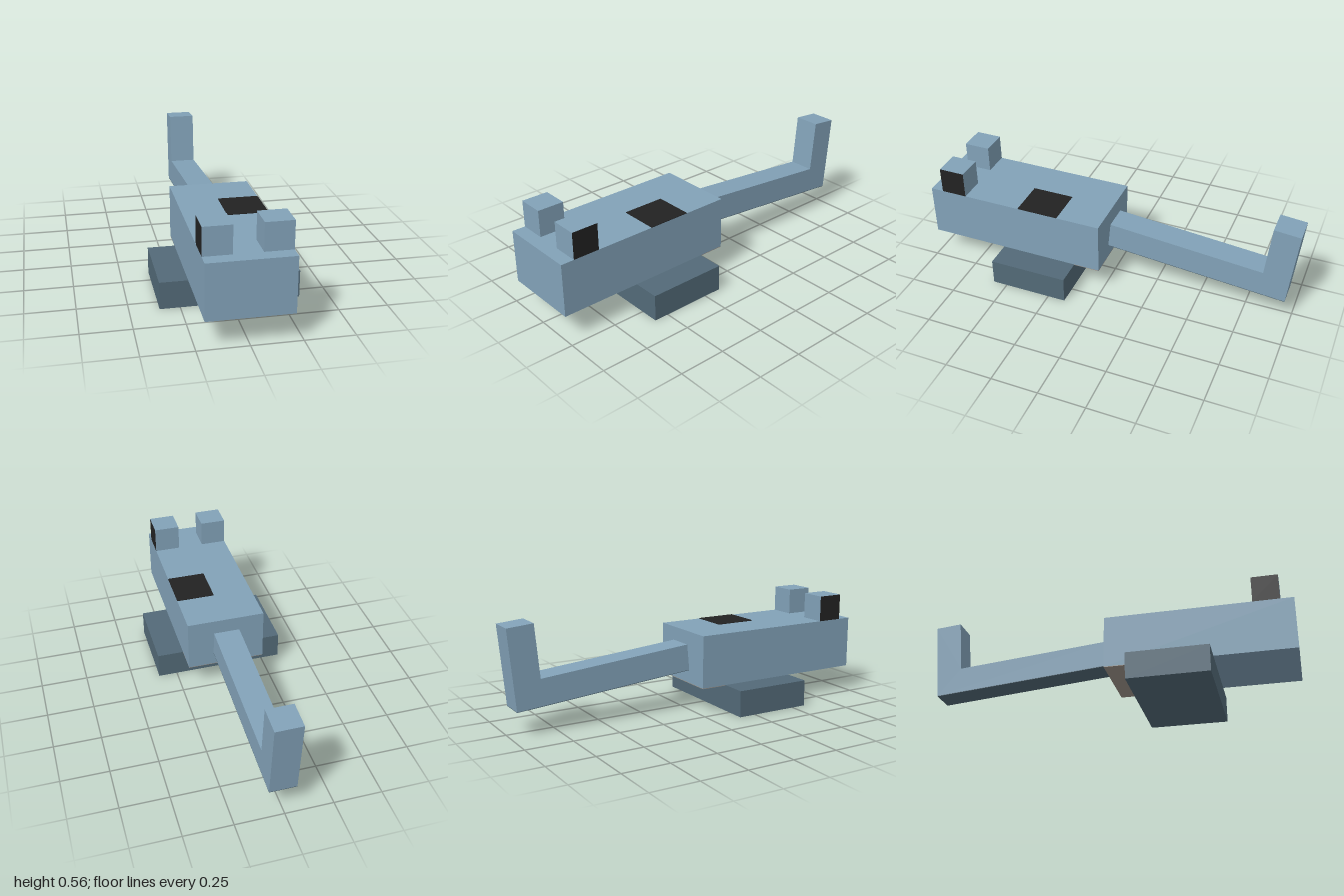
import * as THREE from 'three';

function material(name, color) {
  const m = new THREE.MeshStandardMaterial({ color });
  m.name = name;
  return m;
}

export function createModel() {
  const blue = material('paleBlue', 0x82a2b8);
  const slate = material('darkSlate', 0x536a78);
  const black = material('black', 0x222222);
  const taupe = material('warmGrey', 0xa0968c);
  const model = new THREE.Group();
  model.name = 'creature';

  // Box given by its extents on each axis
  function box(name, mat, [x0, x1], [y0, y1], [z0, z1]) {
    const mesh = new THREE.Mesh(new THREE.BoxGeometry(x1 - x0, y1 - y0, z1 - z0), mat);
    mesh.position.set((x0 + x1) / 2, (y0 + y1) / 2, (z0 + z1) / 2);
    mesh.name = name;
    model.add(mesh);
    return mesh;
  }

  // Body and feet block
  box('body', blue, [-0.21, 0.21], [0.142, 0.424], [0.013, 1]);
  box('feet', slate, [-0.352, 0.352], [0, 0.142], [0.155, 0.578]);

  // Flat markings on the back and under the rump
  box('backPatch', black, [0.003, 0.21], [0.424, 0.427], [0.25, 0.475]);
  box('rumpUnderside', taupe, [-0.21, 0.21], [0.139, 0.142], [0.013, 0.155]);

  // Raised eyes, black on their outer sides only
  for (const side of [-1, 1]) {
    const mats = [blue, blue, blue, blue, blue, blue];
    mats[side > 0 ? 0 : 1] = black;
    const xs = side > 0 ? [0.07, 0.21] : [-0.21, -0.07];
    box(side > 0 ? 'leftEye' : 'rightEye', mats, xs, [0.424, 0.565], [0.79, 0.93]);
  }

  // Bent tail: side profile in (z, y), extruded across x
  const width = 0.141;
  const profile = [[0.013, 0.215], [0, 0.355], [-0.835, 0.281], [-0.86, 0.56], [-1, 0.548], [-0.963, 0.13]];
  const shape = new THREE.Shape(profile.map(([z, y]) => new THREE.Vector2(z, y)));
  const tailGeo = new THREE.ExtrudeGeometry(shape, { depth: width, bevelEnabled: false });
  tailGeo.translate(0, 0, -width / 2);
  tailGeo.rotateY(-Math.PI / 2);
  const tail = new THREE.Mesh(tailGeo, blue);
  tail.name = 'tail';
  model.add(tail);

  // Dark underside of the tail
  const [z0, y0] = profile[0], [z1, y1] = profile[5];
  const under = new THREE.Mesh(
    new THREE.BoxGeometry(width, 0.003, Math.hypot(z0 - z1, y0 - y1)), slate);
  under.position.set(0, (y0 + y1) / 2 - 0.0015, (z0 + z1) / 2);
  under.rotation.x = -Math.atan2(y0 - y1, z0 - z1);
  under.name = 'tailUnderside';
  model.add(under);

  return model;
}
